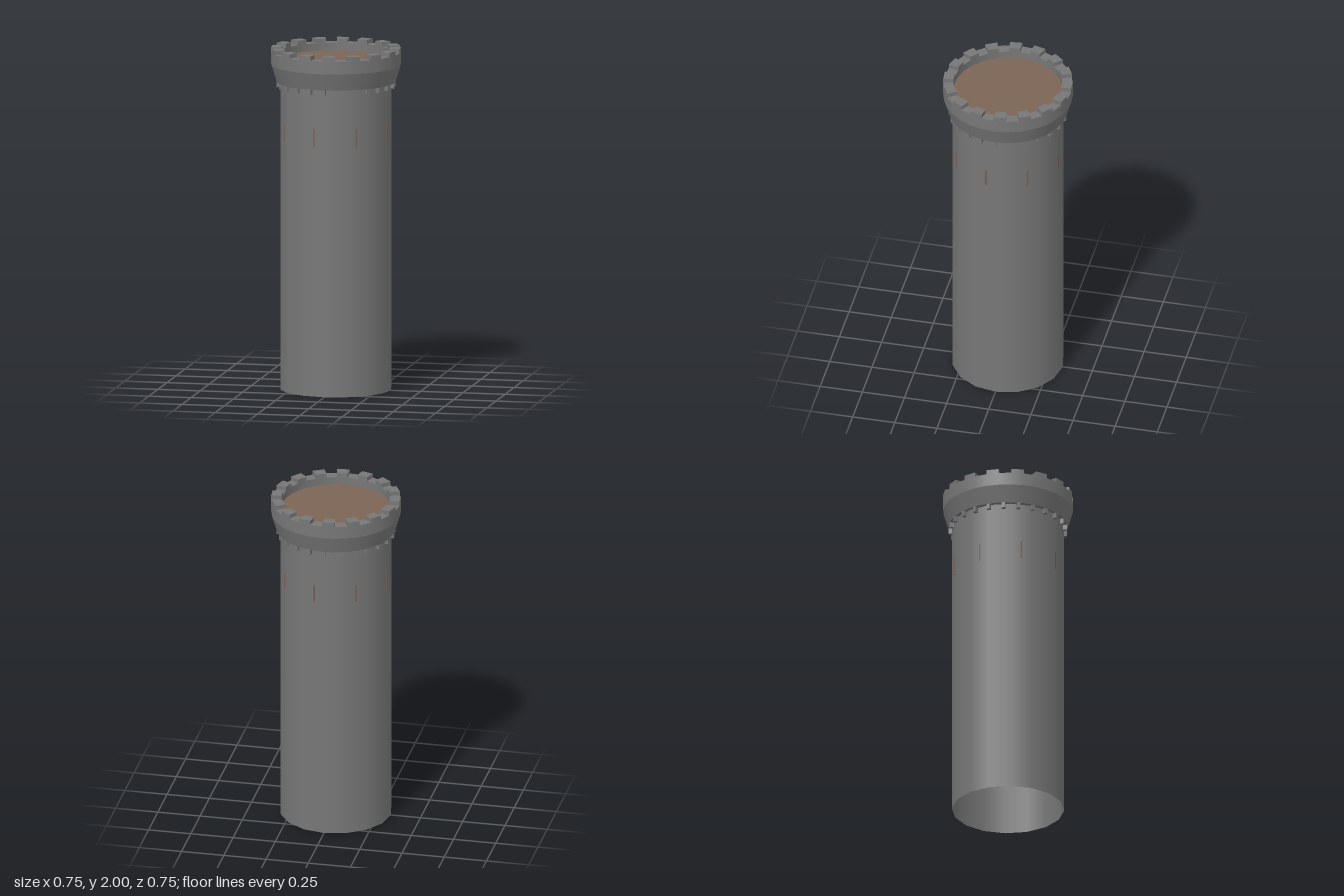
import * as THREE from 'three';

const STEP = Math.PI / 16; // the parapet has 32 sides

export function createModel() {
  const group = new THREE.Group();
  const stone = new THREE.MeshStandardMaterial({ color: 0x777777 });
  stone.name = 'stone';
  const stoneShell = new THREE.MeshStandardMaterial({ color: 0x777777, side: THREE.DoubleSide });
  stoneShell.name = 'stone';
  const wood = new THREE.MeshStandardMaterial({ color: 0x7c6555 });
  wood.name = 'wood';

  const add = (name, geometry, material) => {
    const mesh = new THREE.Mesh(geometry, material);
    mesh.name = name;
    group.add(mesh);
    return mesh;
  };

  // Open round band between two heights
  const band = (name, rTop, rBottom, y0, y1, sides, material) =>
    add(name, new THREE.CylinderGeometry(rTop, rBottom, y1 - y0, sides, 1, true)
      .translate(0, (y0 + y1) / 2, 0), material);

  // Flat ring facing up (dir 1) or down (dir -1)
  const ring = (name, rIn, rOut, y, dir) =>
    add(name, new THREE.RingGeometry(rIn, rOut, 32)
      .rotateX(-dir * Math.PI / 2).translate(0, y, 0), stone);

  // Shaft, hollow and open at the bottom
  band('shaft', 0.325, 0.325, 0, 1.8, 16, stoneShell);

  // Parapet
  band('parapetFlare', 0.375, 0.345, 1.8, 1.9, 32, stone);
  band('parapetWall', 0.375, 0.375, 1.9, 1.975, 32, stone);
  const inner = band('parapetInnerWall', 0.315, 0.315, 1.93, 1.975, 32, stoneShell);
  inner.material = stoneShell;
  ring('parapetUnderside', 0.315, 0.345, 1.8, -1);
  ring('parapetLedge', 0.315, 0.375, 1.975, 1);
  add('roofFloor', new THREE.CircleGeometry(0.315, 32)
    .rotateX(-Math.PI / 2).translate(0, 1.93, 0), wood);

  // Merlons: boxes bent to the wall, on every other side
  for (let i = 0; i < 32; i += 2) {
    const geo = new THREE.BoxGeometry(1, 0.025, 1);
    const p = geo.attributes.position;
    const angles = [];
    for (let v = 0; v < p.count; v++) {
      const a = (i + p.getX(v) + 0.5) * STEP;
      const r = p.getZ(v) > 0 ? 0.375 : 0.315;
      angles.push(a);
      p.setXYZ(v, Math.sin(a) * r, p.getY(v) + 1.9875, Math.cos(a) * r);
    }
    geo.computeVertexNormals();
    // round normals on the outer and inner faces
    for (let v = 16; v < 24; v++) {
      const s = v < 20 ? 1 : -1;
      geo.attributes.normal.setXYZ(v, s * Math.sin(angles[v]), 0, s * Math.cos(angles[v]));
    }
    add('merlon', geo, stone);
  }

  // Corbels under the parapet
  for (let i = 0; i < 24; i++) {
    add('corbel', new THREE.BoxGeometry(0.02, 0.032, 0.035)
      .translate(0, 1.785, 0.3265).rotateY(i * Math.PI / 12), stone);
  }

  // Arrow slits in the middle of every other shaft face
  const faceRadius = 0.325 * Math.cos(STEP);
  for (let i = 0; i < 8; i++) {
    add('arrowSlit', new THREE.BoxGeometry(0.011, 0.105, 0.004)
      .translate(0, 1.515, faceRadius).rotateY(-STEP + i * Math.PI / 4), wood);
  }

  return group;
}
